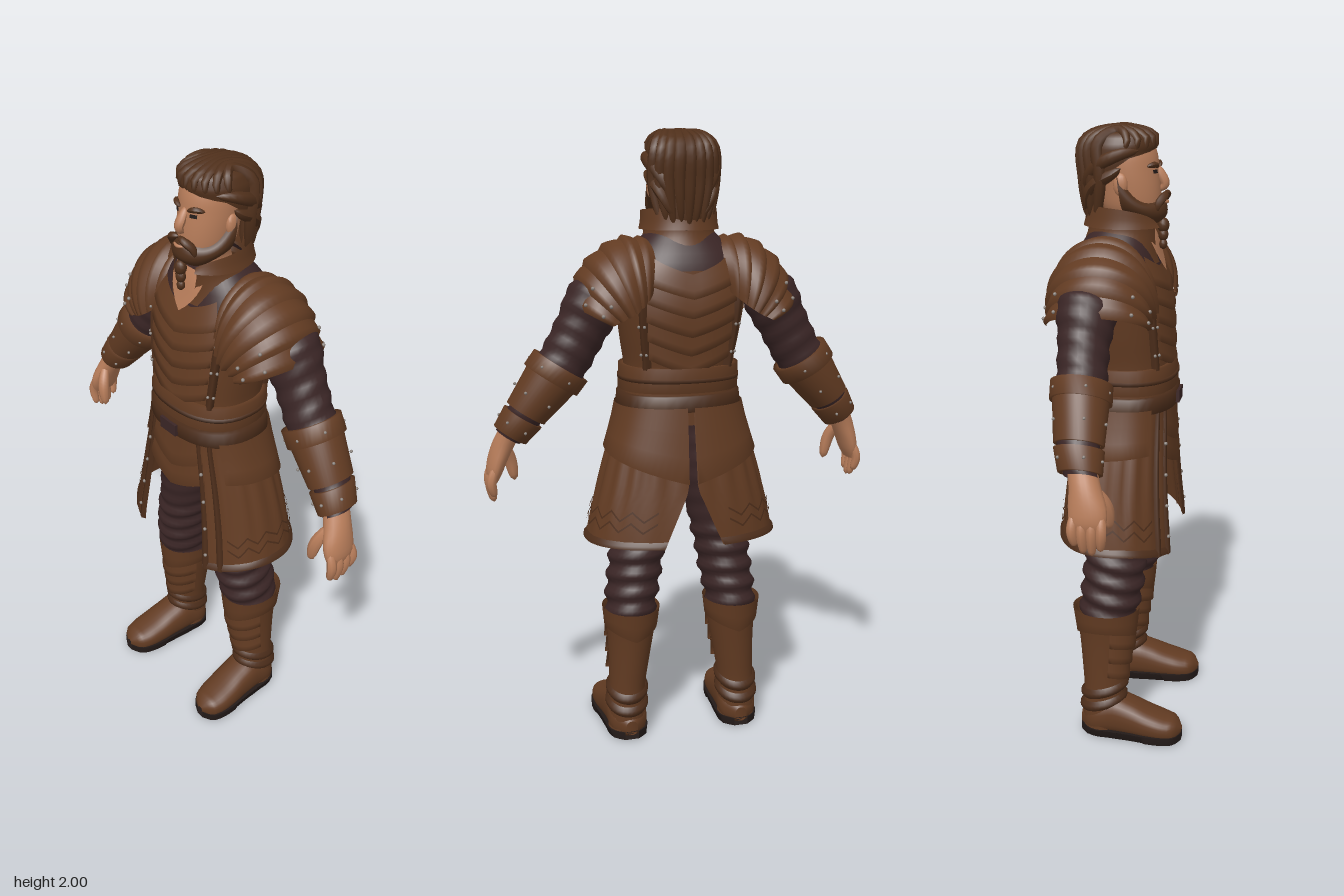
import * as THREE from 'three';
import { mergeVertices } from 'three/addons/utils/BufferGeometryUtils.js';

const V = (x, y, z) => new THREE.Vector3(x, y, z);
const paint = (name, color) => new THREE.MeshStandardMaterial({ name, color, side: THREE.DoubleSide });

// Grid surface from a rule fn(u, v), both 0..1
function patch(nu, nv, fn) {
  const pos = [], idx = [], w = nu + 1;
  for (let j = 0; j <= nv; j++) for (let i = 0; i <= nu; i++) pos.push(...fn(i / nu, j / nv).toArray());
  for (let j = 0; j < nv; j++) for (let i = 0; i < nu; i++) {
    const a = j * w + i;
    idx.push(a, a + w, a + 1, a + 1, a + w, a + w + 1);
  }
  let g = new THREE.BufferGeometry();
  g.setAttribute('position', new THREE.Float32BufferAttribute(pos, 3));
  g.setIndex(idx);
  g = mergeVertices(g, 1e-5);
  g.computeVertexNormals();
  return g;
}

// Rows of [y, centre x, centre z, radius x, radius z] -> point at height y and angle (90 = front)
function surface(rows, n = 2) {
  const it = new THREE.CubicInterpolant(rows.map(r => r[0]), rows.flatMap(r => r.slice(1)), 4, new Float32Array(4));
  const pw = c => Math.sign(c) * Math.abs(c) ** (2 / n);
  return (y, deg, off = 0) => {
    const [cx, cz, rx, rz] = it.evaluate(y), a = deg * Math.PI / 180;
    return V(cx + (rx + off) * pw(Math.cos(a)), y, cz + (rz + off) * pw(Math.sin(a)));
  };
}
const ring = (s, y0, y1, off = 0, nv = 2, nu = 32) => patch(nu, nv, (u, v) => s(y0 + (y1 - y0) * v, u * 360, off));

// Raised band whose edges turn in to the surface under it
const band = (s, y0, y1, off) => patch(36, 3, (u, v) =>
  s(y0 + (y1 - y0) * (v < 0.5 ? Math.max(0, v * 3 - 1) : Math.min(1, v * 3 - 1)), u * 360, v === 0 || v === 1 ? 0 : off));

// V-shaped plate, lipped along its lower edge
const chevron = (s, mid, half, y0, h, rise, off) => patch(16, 4, (u, v) => {
  const k = u * 2 - 1, t = Math.max(0, v * 4 - 1) / 3;
  return s(y0 + h * t + rise * Math.abs(k), mid + half * k, v === 0 ? 0 : off * (1 - t) + 0.003);
});

// Tapered, round-ended strand along a curve
function strand(points, radius, k = 0.5, n = 14) {
  const c = new THREE.CatmullRomCurve3(points), g = new THREE.TubeGeometry(c, n, radius, 8), p = g.attributes.position, q = V();
  for (let i = 0; i < p.count; i++) {
    const t = Math.floor(i / 9) / n, o = c.getPointAt(t);
    q.fromBufferAttribute(p, i).sub(o).multiplyScalar(Math.max(0.02, Math.sin(Math.PI * t) ** k)).add(o);
    p.setXYZ(i, q.x, q.y, q.z);
  }
  g.computeVertexNormals();
  return g;
}

export function createModel() {
  const model = new THREE.Group();
  const leather = paint('leather', 0x623b22), dark = paint('darkLeather', 0x4c2d1a), cloth = paint('cloth', 0x3b2626);
  const skin = paint('skin', 0xb87d5a), hairMat = paint('hair', 0x50301b), sole = paint('sole', 0x231a18), metal = paint('metal', 0x8a827c);
  const add = (to, name, geo, mat) => {
    const m = new THREE.Mesh(geo, mat);
    m.name = name;
    to.add(m);
    return m;
  };
  const stud = (to, p, r = 0.006) => add(to, 'stud', new THREE.SphereGeometry(r, 8, 6), metal).position.copy(p);

  // Torso
  const body = surface([[1.08, 0, -0.01, 0.19, 0.14], [1.18, 0, -0.005, 0.18, 0.14], [1.26, 0, -0.01, 0.178, 0.14],
    [1.35, 0, -0.02, 0.192, 0.147], [1.45, 0, -0.032, 0.205, 0.153], [1.53, 0, -0.04, 0.21, 0.145],
    [1.6, 0, -0.045, 0.18, 0.128], [1.66, 0, -0.035, 0.13, 0.1], [1.7, 0, -0.03, 0.085, 0.075]], 2.3);
  add(model, 'jerkin', ring(body, 1.08, 1.57, 0, 14, 48), leather);
  add(model, 'undershirt', ring(body, 1.57, 1.7, 0, 5, 48), cloth);
  for (const mid of [90, 270]) for (let i = 0; i < 5; i++)
    add(model, 'chestPlate', chevron(body, mid, 38, 1.245 + i * 0.06, 0.075, 0.05, 0.012), leather);
  add(model, 'sash', band(body, 1.185, 1.265, 0.016), leather);
  add(model, 'sashTrim', band(body, 1.218, 1.23, 0.02), dark);
  add(model, 'belt', band(body, 1.125, 1.175, 0.02), dark);
  add(model, 'buckle', new THREE.BoxGeometry(0.075, 0.04, 0.012), cloth).position.set(0, 1.15, 0.157);
  add(model, 'throat', patch(8, 6, (u, v) => body(1.55 + 0.13 * v, 90 + (u * 2 - 1) * 30 * v, 0.012)), skin);

  // Collar, open at the front
  const collar = surface([[1.55, 0, -0.04, 0.18, 0.142], [1.61, 0, -0.035, 0.145, 0.125], [1.68, 0, -0.02, 0.112, 0.115], [1.76, 0, -0.012, 0.122, 0.125]]);
  const collarAt = (u, v, off, low) => {
    const side = Math.abs(u * 2 - 1), top = 1.755 - 0.05 * side ** 4, y = low + (top - low) * v;
    const gap = 4 + 24 * THREE.MathUtils.clamp((y - 1.55) / 0.13, 0, 1);
    return collar(y, 90 + gap + u * (360 - 2 * gap), off);
  };
  add(model, 'collar', patch(40, 8, (u, v) => collarAt(u, v, 0, 1.58)), leather);
  add(model, 'collarFold', patch(40, 4, (u, v) => collarAt(u, v, 0.016 * (1 - v), 1.69)), leather);

  // Skirt
  const skirt = surface([[0.6, 0, -0.025, 0.322, 0.193], [0.7, 0, -0.025, 0.307, 0.188], [0.8, 0, -0.025, 0.285, 0.178],
    [0.95, 0, -0.02, 0.245, 0.162], [1.1, 0, -0.012, 0.2, 0.148], [1.16, 0, -0.008, 0.187, 0.143]], 2.3);
  const hem = a => 0.695 - 0.045 * Math.max(0, Math.sin(a * Math.PI / 180)) ** 2;
  const slit = y => -88 + 14 * THREE.MathUtils.clamp((0.88 - y) / 0.2, 0, 1);
  const angleAt = (u, y) => slit(y) + u * (63 - slit(y));
  for (let i = 0; i < 2; i++)
    add(model, 'frontFlap', chevron(skirt, 90, 32, 0.92 + i * 0.075, 0.13, 0.06, 0.01), leather);

  // Head
  const head = surface([[1.6, 0, -0.02, 0.066, 0.066], [1.68, 0, -0.015, 0.064, 0.066], [1.715, 0, 0.005, 0.062, 0.08],
    [1.75, 0, 0, 0.076, 0.091], [1.8, 0, -0.005, 0.085, 0.096], [1.86, 0, -0.015, 0.09, 0.1],
    [1.91, 0, -0.022, 0.088, 0.1], [1.95, 0, -0.028, 0.075, 0.085], [1.98, 0, -0.03, 0.03, 0.04]]);
  add(model, 'head', ring(head, 1.6, 1.98, 0, 24, 40), skin);
  add(model, 'nose', strand([V(0, 1.875, 0.075), V(0, 1.845, 0.092), V(0, 1.815, 0.104), V(0, 1.795, 0.085)], 0.015, 0.5), skin);
  add(model, 'beard', patch(36, 8, (u, v) => {
    const k = Math.abs(u * 2 - 1), lo = 1.695 + 0.05 * k ** 2, hi = 1.782 - 0.02 * Math.sin(Math.PI * k) + 0.075 * k ** 6;
    return head(lo + (hi - lo) * v, -8 + u * 196, 0.02 * Math.sin(Math.PI * Math.min(1, 0.15 + v * 0.85)) ** 0.6 + 0.002);
  }), hairMat);
  for (let i = 0; i < 3; i++) {
    const knot = add(model, 'beardBraid', new THREE.SphereGeometry(0.019 - i * 0.003, 10, 8), hairMat);
    knot.position.set(0, 1.69 - i * 0.029, 0.1);
    knot.scale.y = 1.25;
  }
  add(model, 'lowerLip', strand([V(-0.022, 1.764, 0.106), V(0, 1.762, 0.112), V(0.022, 1.764, 0.106)], 0.005), skin);

  // Swept-back hair
  const hair = surface([[1.66, 0, -0.06, 0.07, 0.06], [1.7, 0, -0.06, 0.086, 0.078], [1.76, 0, -0.055, 0.096, 0.092],
    [1.84, 0, -0.046, 0.103, 0.106], [1.9, 0, -0.04, 0.107, 0.113], [1.945, 0, -0.033, 0.1, 0.11],
    [1.975, 0, -0.03, 0.07, 0.08], [1.988, 0, -0.03, 0.01, 0.01]]);
  const hairline = y => y > 1.925 ? 0 : y > 1.9 ? 62 * (1.925 - y) / 0.025 : Math.min(104, 62 + (1.9 - y) * 700);
  add(model, 'hairCap', patch(48, 40, (u, v) => {
    const y = 1.66 + 0.328 * v, g = hairline(y);
    return hair(y, 90 + g + u * (360 - 2 * g));
  }), hairMat);
  for (let i = -4; i <= 4; i++) {
    const f = i / 4, a = 90 - f * 72;
    add(model, 'hairLock', strand([hair(1.915, a, -0.006), hair(1.955, a), V(f * 0.06, 1.977, -0.03), hair(1.94, 270 + f * 62),
      hair(1.83, 270 + f * 72), hair(1.69 + 0.02 * (i & 1), 270 + f * 60)], 0.02, 0.4, 24), hairMat);
  }

  // Everything that is mirrored left and right
  for (const s of [1, -1]) {
    const side = new THREE.Group();
    side.name = s > 0 ? 'leftSide' : 'rightSide';
    side.scale.x = s;
    model.add(side);

    // Face and side hair
    add(side, 'eye', patch(6, 2, (u, v) => head(1.85 + 0.011 * v, 60 + u * 14, 0.003)), sole);
    add(side, 'brow', strand([head(1.868, 80, 0.004), head(1.876, 65, 0.005), head(1.872, 47, 0.002)], 0.009), hairMat);
    add(side, 'moustache', strand([V(0, 1.79, 0.105), V(0.025, 1.784, 0.108), V(0.046, 1.762, 0.092), V(0.052, 1.735, 0.085)], 0.013), hairMat);
    const ear = add(side, 'ear', new THREE.SphereGeometry(0.03, 12, 8), skin);
    ear.scale.set(0.45, 1.15, 0.75);
    ear.position.set(0.09, 1.82, -0.018);
    for (const d of [0, 0.05])
      add(side, 'templeLock', strand([hair(1.92 - d, 40 - d * 500), hair(1.905 - d, 5), hair(1.86 - d, -35), hair(1.78 - d, -62)], 0.021, 0.45), hairMat);

    // Chest and back straps with studs
    for (const a of [47, -47]) {
      add(side, 'strap', patch(4, 10, (u, v) => body(1.26 + 0.3 * v, a - 5 + u * 10, u === 0 || u === 1 ? 0 : 0.017)), dark);
      for (const y of [1.31, 1.4, 1.49]) for (const d of [-3, 3]) stud(side, body(y, a + d, 0.018), 0.005);
    }

    // Layered shoulder guard
    const top = new THREE.CatmullRomCurve3([V(0.1, 1.66, 0), V(0.2, 1.665, 0), V(0.315, 1.585, 0), V(0.365, 1.47, 0)]);
    const base = new THREE.LineCurve3(V(0.12, 1.52, 0), V(0.27, 1.42, 0));
    const guard = (t, deg, k) => {
      const a = deg * Math.PI / 180, p = base.getPoint(t), q = top.getPoint(t).sub(p).multiplyScalar(k * Math.max(-0.2, Math.cos(a)));
      return p.add(q).add(V(0, 0, -0.055 + k * (0.122 + 0.045 * Math.sin(Math.PI * Math.min(t, 0.72))) * Math.sin(a)));
    };
    for (let i = 0; i < 6; i++) {
      add(side, 'shoulderPlate', patch(28, 4, (u, v) => guard((i + v * 1.08) / 6.08, -97 + u * 194, v === 1 ? 0.98 : 0.98 + 0.09 * v)), leather);
      if (i > 3) for (const a of [-75, -45, 45, 75]) stud(side, guard((i + 0.6) / 6, a, 1.05));
    }

    // Arm, sleeve and bracer, built hanging and then swung out
    const arm = new THREE.Group();
    arm.name = 'arm';
    arm.position.set(0.26, 1.52, -0.08);
    arm.rotation.z = 0.576;
    side.add(arm);
    const limb = surface([[-0.56, 0, 0.038, 0.042, 0.05], [-0.45, -0.005, 0.02, 0.057, 0.064], [-0.33, -0.015, 0.01, 0.078, 0.075],
      [-0.26, -0.018, 0.005, 0.079, 0.075], [-0.15, -0.01, 0, 0.082, 0.078], [-0.03, 0, 0, 0.085, 0.088], [0.04, -0.01, 0, 0.04, 0.04]]);
    add(arm, 'sleeve', patch(28, 36, (u, v) => limb(-0.555 + 0.59 * v, u * 360, 0.003 * Math.sin(v * 60 + Math.sin(u * 6.283) * 2))), cloth);
    add(arm, 'bracer', band(limb, -0.46, -0.29, 0.012), leather);
    add(arm, 'bracerCuff', band(limb, -0.33, -0.275, 0.018), leather);
    add(arm, 'wristBand', band(limb, -0.545, -0.475, 0.014), leather);
    for (const y of [-0.305, -0.4, -0.51]) for (const a of [20, 75, 130, 250, 310]) stud(arm, limb(y, a, 0.016), 0.005);

    // Hand
    const palm = surface([[0.905, 0.611, -0.012, 0.012, 0.04], [0.93, 0.608, -0.013, 0.024, 0.053], [0.97, 0.598, -0.015, 0.031, 0.057],
      [1.03, 0.576, -0.027, 0.037, 0.047], [1.09, 0.548, -0.042, 0.038, 0.042]]);
    add(side, 'palm', ring(palm, 0.905, 1.09, 0, 10, 20), skin);
    for (let i = 0; i < 4; i++) {
      const z = 0.026 - i * 0.026, tip = [0.85, 0.835, 0.84, 0.862][i];
      add(side, 'finger', strand([V(0.604, 0.965, z), V(0.621, 0.91, z * 1.1), V(0.611, tip, z * 0.95)], 0.0155, 0.28), skin);
    }
    add(side, 'thumb', strand([V(0.575, 1.03, 0), V(0.551, 0.965, 0.03), V(0.536, 0.89, 0.036)], 0.02, 0.35), skin);

    // Skirt panel with trim, zigzag tooling and hip layer
    add(side, 'skirtPanel', patch(40, 16, (u, v) => {
      const h = hem(-88 + u * 151), y = h + (1.15 - h) * v, a = angleAt(u, y);
      return skirt(y, a, 0.006 + 0.004 * Math.sin(a * 0.35) * Math.sin(Math.PI * v));
    }), leather);
    add(side, 'hemTrim', patch(40, 2, (u, v) => {
      const y = hem(-88 + u * 151) + 0.022 * v;
      return skirt(y, angleAt(u, y), v === 1 ? 0.006 : 0.014);
    }), dark);
    for (const a of [50, 62]) add(side, 'frontTrim', patch(4, 12, (u, v) => {
      const h = hem(a), y = h + (1.13 - h) * v;
      return skirt(y, a - 4 + u * 6, u === 0 || u === 1 ? 0.004 : 0.015);
    }), dark);
    for (const y of [0.72, 0.82, 0.92, 1.02]) stud(side, skirt(y, 60, 0.017));
    for (const d of [0.05, 0.085]) add(side, 'zigzag', patch(48, 1, (u, v) => {
      const a = -70 + u * 112;
      return skirt(hem(a) + d + 0.03 * Math.abs((u * 12) % 2 - 1) + 0.007 * v, a, 0.013);
    }), dark);
    add(side, 'hipFlap', patch(24, 4, (u, v) => {
      const y = 1.0 - 0.1 * (1 - u) ** 2 + (v === 0 ? 0 : (v * 4 - 1) / 3) * (0.14 + 0.1 * (1 - u) ** 2);
      return skirt(y, -88 + u * 125, v === 0 ? 0.004 : 0.018);
    }), leather);

    // Trouser leg with folds
    const leg = surface([[0.42, 0.175, -0.045, 0.08, 0.09], [0.47, 0.172, -0.04, 0.084, 0.097], [0.55, 0.16, -0.03, 0.088, 0.1],
      [0.62, 0.15, -0.026, 0.089, 0.1], [0.75, 0.125, -0.02, 0.092, 0.102], [0.9, 0.102, -0.02, 0.1, 0.115], [1.1, 0.09, -0.02, 0.09, 0.11]]);
    add(side, 'trouserLeg', patch(32, 48, (u, v) => {
      const fold = v < 0.45 ? 0.007 : 0.002;
      return leg(0.42 + 0.68 * v, u * 360, fold * Math.sin(v * 68 + 2 * Math.sin(u * 6.283)));
    }), cloth);

    // Boot
    const boot = surface([[0.02, 0.195, -0.062, 0.064, 0.066], [0.08, 0.195, -0.06, 0.063, 0.068], [0.15, 0.193, -0.056, 0.06, 0.068],
      [0.25, 0.185, -0.054, 0.066, 0.077], [0.36, 0.177, -0.05, 0.077, 0.092], [0.46, 0.175, -0.052, 0.088, 0.104]]);
    add(side, 'bootShaft', ring(boot, 0.02, 0.45, 0, 16), leather);
    add(side, 'bootCuff', patch(36, 3, (u, v) => {
      const lo = 0.355 + 0.035 * Math.abs(Math.cos(u * 6.283));
      return boot(v === 0 ? lo : lo + (0.455 - lo) * (v * 3 - 1) / 2, u * 360, v === 0 ? 0 : 0.008);
    }), leather);
    for (let i = 0; i < 3; i++) add(side, 'shinPlate', chevron(boot, 90, 75, 0.2 + i * 0.055, 0.065, 0.03, 0.01), leather);
    for (const y of [0.1, 0.145]) add(side, 'ankleStrap', patch(32, 3, (u, v) =>
      boot(y + 0.035 * v + 0.02 * Math.sin(u * 6.283), u * 360, v === 0 || v === 1 ? 0.002 : 0.011)), dark);
    const foot = surface([[-0.132, 0.193, -0.04, 0.02, 0.025], [-0.1, 0.194, -0.05, 0.056, 0.05], [-0.02, 0.197, -0.07, 0.066, 0.07],
      [0.04, 0.201, -0.062, 0.066, 0.062], [0.1, 0.206, -0.05, 0.067, 0.05], [0.16, 0.21, -0.041, 0.061, 0.04],
      [0.195, 0.212, -0.038, 0.043, 0.032], [0.212, 0.213, -0.035, 0.01, 0.01]], 2.4);
    add(side, 'foot', ring(foot, -0.132, 0.212, 0, 24, 28).rotateX(Math.PI / 2), leather);
    const pad = ring(foot, -0.132, 0.212, 0.004, 24, 28).rotateX(Math.PI / 2), pp = pad.attributes.position;
    for (let i = 0; i < pp.count; i++) pp.setY(i, pp.getY(i) > 0.035 ? 0.026 : 0);
    pad.computeVertexNormals();
    add(side, 'sole', pad, sole);
  }
  return model;
}
